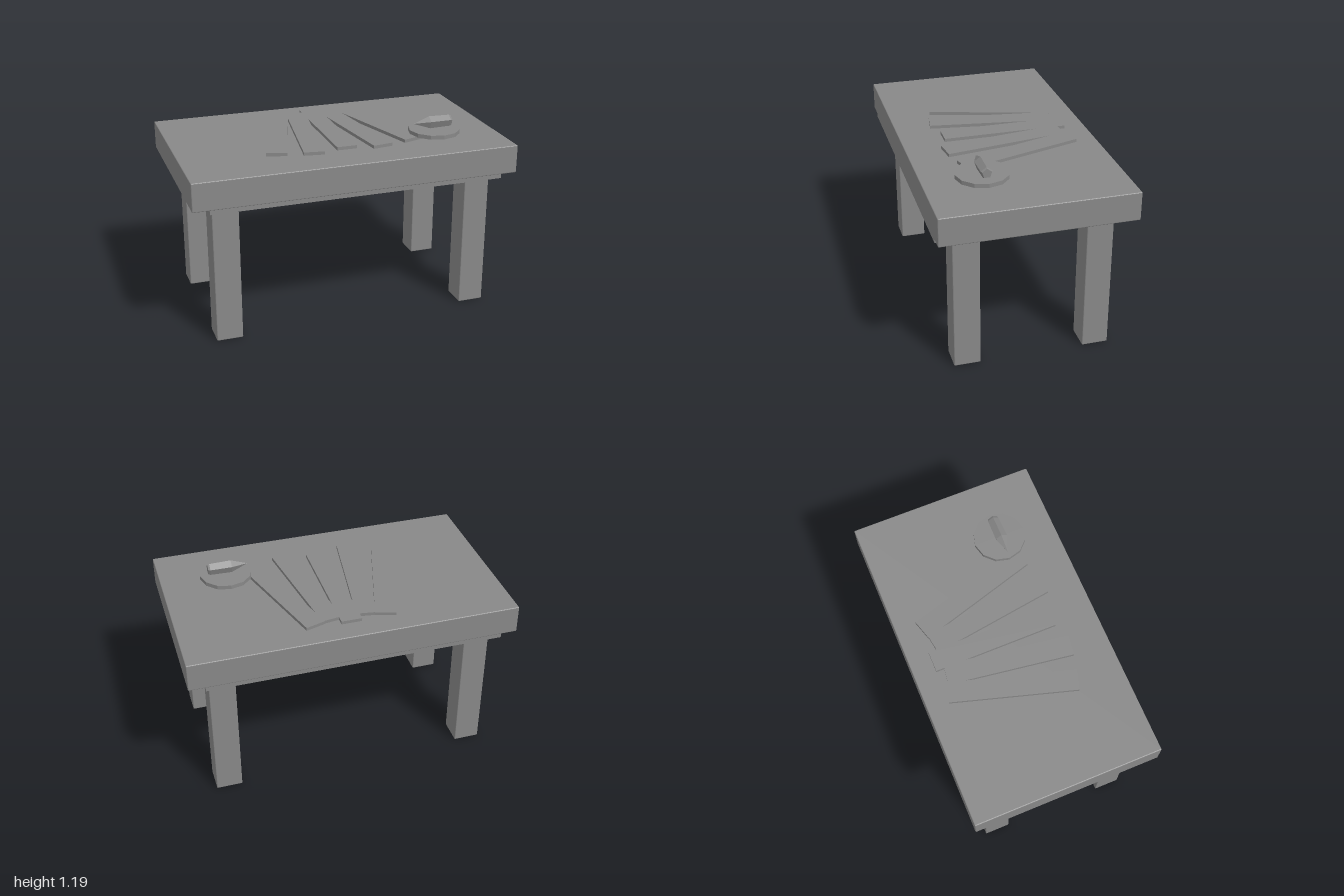
import * as THREE from 'three';
import { RoundedBoxGeometry } from 'three/addons/geometries/RoundedBoxGeometry.js';

export function createModel() {
  const model = new THREE.Group();
  model.name = 'table';
  const grey = new THREE.MeshStandardMaterial({ color: 0x888888, flatShading: true });
  grey.name = 'grey';

  function add(name, geometry, x, y, z, parent = model) {
    const mesh = new THREE.Mesh(geometry, grey);
    mesh.name = name;
    mesh.position.set(x, y, z);
    parent.add(mesh);
    return mesh;
  }

  // Slab with softly eased edges
  add('tableTop', new RoundedBoxGeometry(2, 0.175, 1.16, 2, 0.006), 0, 0.9775, 0);

  // Four square legs, and a rail under each long edge
  const legGeometry = new RoundedBoxGeometry(0.16, 0.9, 0.16, 2, 0.006);
  const railGeometry = new THREE.BoxGeometry(1.8, 0.035, 0.062);
  for (const sz of [1, -1]) {
    for (const sx of [1, -1]) {
      const name = (sz > 0 ? 'front' : 'back') + (sx > 0 ? 'Left' : 'Right') + 'Leg';
      add(name, legGeometry, sx * 0.79, 0.45, sz * 0.395);
    }
    add(sz > 0 ? 'frontRail' : 'backRail', railGeometry, 0, 0.8825, sz * 0.547);
  }

  // Five flat strips fanned out towards the front
  const fan = new THREE.Group();
  fan.name = 'fan';
  model.add(fan);
  const stripGeometry = new THREE.BoxGeometry(0.126, 0.02, 0.766);
  const offsets = [-0.0625, -0.0235, -0.0635]; // z by distance from the middle
  for (let i = -2; i <= 2; i++) {
    const strip = add('fanStrip', stripGeometry, i * 0.161, 1.075, offsets[Math.abs(i)], fan);
    strip.rotation.y = i * 0.145;
  }

  // Twelve-sided disc
  add('disc', new THREE.CylinderGeometry(0.16, 0.16, 0.025, 12), 0.6, 1.096, 0.23);

  // Five-sided pointed piece lying above the disc, tip towards -x
  const profile = [[0, 0], [0.03, 0], [0.036, 0.012], [0.039, 0.145], [0, 0.248]];
  const pointer = new THREE.LatheGeometry(
    profile.map(([r, h]) => new THREE.Vector2(r, h)), 5, Math.PI / 2);
  pointer.rotateZ(Math.PI / 2);
  add('pointer', pointer, 0.71, 1.147, 0.23);

  return model;
}
